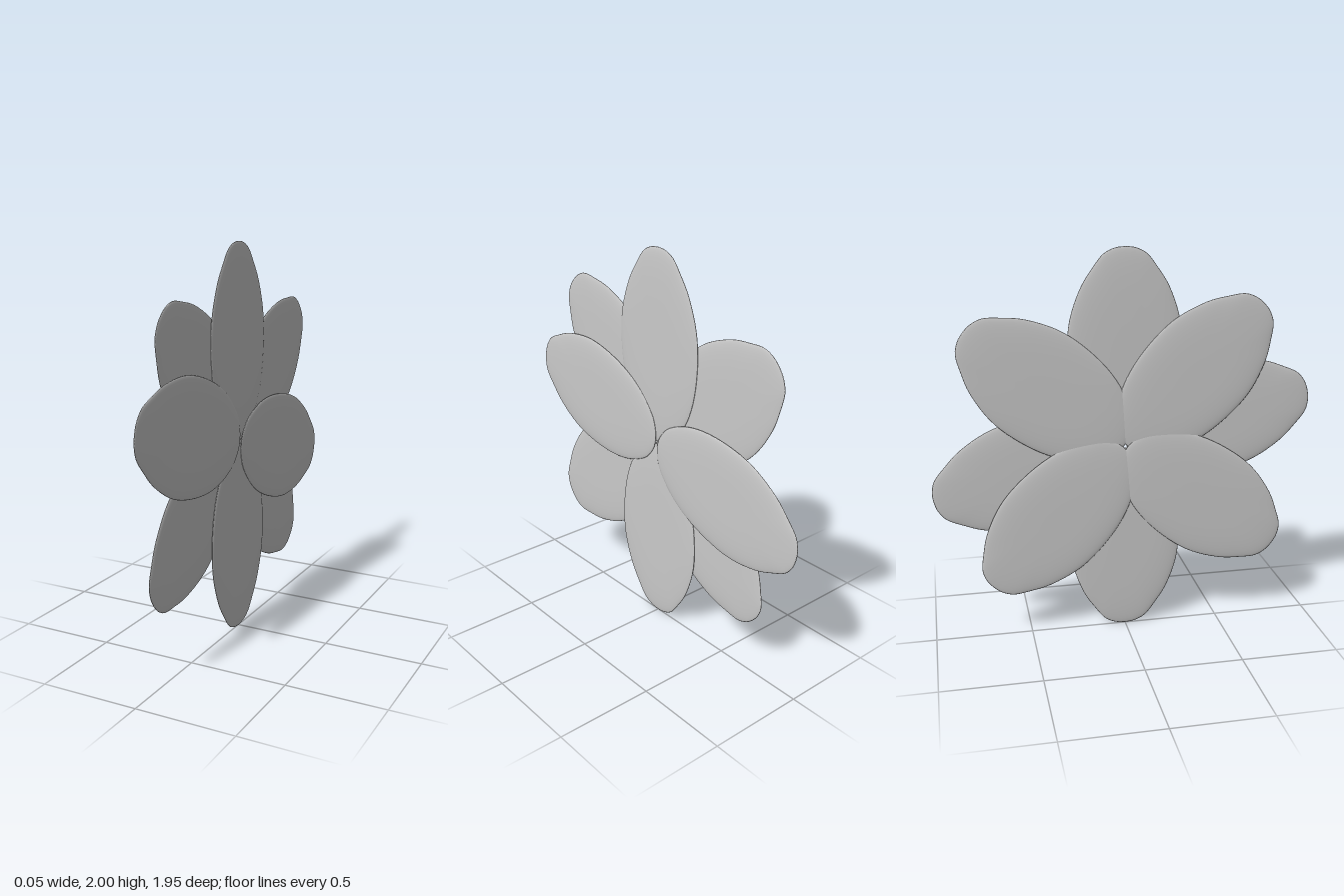
import * as THREE from 'three';
import { mergeVertices } from 'three/addons/utils/BufferGeometryUtils.js';

// Half outline of a petal from tip to base: [distance from flower centre, half width]
const HALF = [
  [1, 0], [0.994, 0.05], [0.965, 0.108], [0.9, 0.16], [0.8, 0.223], [0.65, 0.275], [0.5, 0.287],
  [0.33, 0.268], [0.186, 0.219], [0.07, 0.138], [0.022, 0.065], [0.008, 0],
];
const MID = 0.5; // centre of the petal along its length
const HALF_THICKNESS = 0.013;

// A rounded, almost flat pad whose rim follows the petal outline; it lies in the yz plane along +z
function petalGeometry() {
  const right = HALF.map(([u, v]) => new THREE.Vector2(u, v));
  const left = HALF.slice(1, -1).reverse().map(([u, v]) => new THREE.Vector2(u, -v));
  const rim = new THREE.SplineCurve([...right, ...left, right[0].clone()]);

  let geo = new THREE.SphereGeometry(1, 88, 28);
  const pos = geo.attributes.position;
  for (let i = 0; i < pos.count; i++) {
    const x = pos.getX(i), y = pos.getY(i), z = pos.getZ(i);
    const rho = Math.min(1, Math.hypot(x, z));
    const turn = (Math.atan2(z, x) / (2 * Math.PI) + 1) % 1;
    const p = rim.getPoint(turn);
    const height = Math.abs(y) < 1e-6 ? 0 : Math.sign(y) * HALF_THICKNESS * Math.sqrt(1 - rho ** 4);
    pos.setXYZ(i, height, rho * p.y, MID + rho * (p.x - MID));
  }
  geo.deleteAttribute('uv');
  geo.deleteAttribute('normal');
  geo = mergeVertices(geo, 1e-5);
  geo.computeVertexNormals();
  return geo;
}

export function createModel() {
  const flower = new THREE.Group();
  flower.name = 'flower';
  const material = new THREE.MeshStandardMaterial({ color: 0xcccccc });
  const geo = petalGeometry();

  // Three overlapping layers: name, angle from +z towards +y in degrees, layer offset along x
  const petals = [
    ['upperFrontPetal', 45, -0.012],
    ['upperBackPetal', 142, -0.012],
    ['lowerBackPetal', 226, -0.017],
    ['lowerFrontPetal', 323.5, -0.017],
    ['topPetal', 90, 0.001],
    ['bottomPetal', 270, 0.001],
    ['frontPetal', 14, 0.012],
    ['backPetal', 194, 0.012],
  ];
  for (const [name, angle, offset] of petals) {
    const petal = new THREE.Mesh(geo, material);
    petal.name = name;
    petal.rotation.x = -THREE.MathUtils.degToRad(angle);
    petal.position.set(offset, 1, 0);
    flower.add(petal);
  }
  return flower;
}
